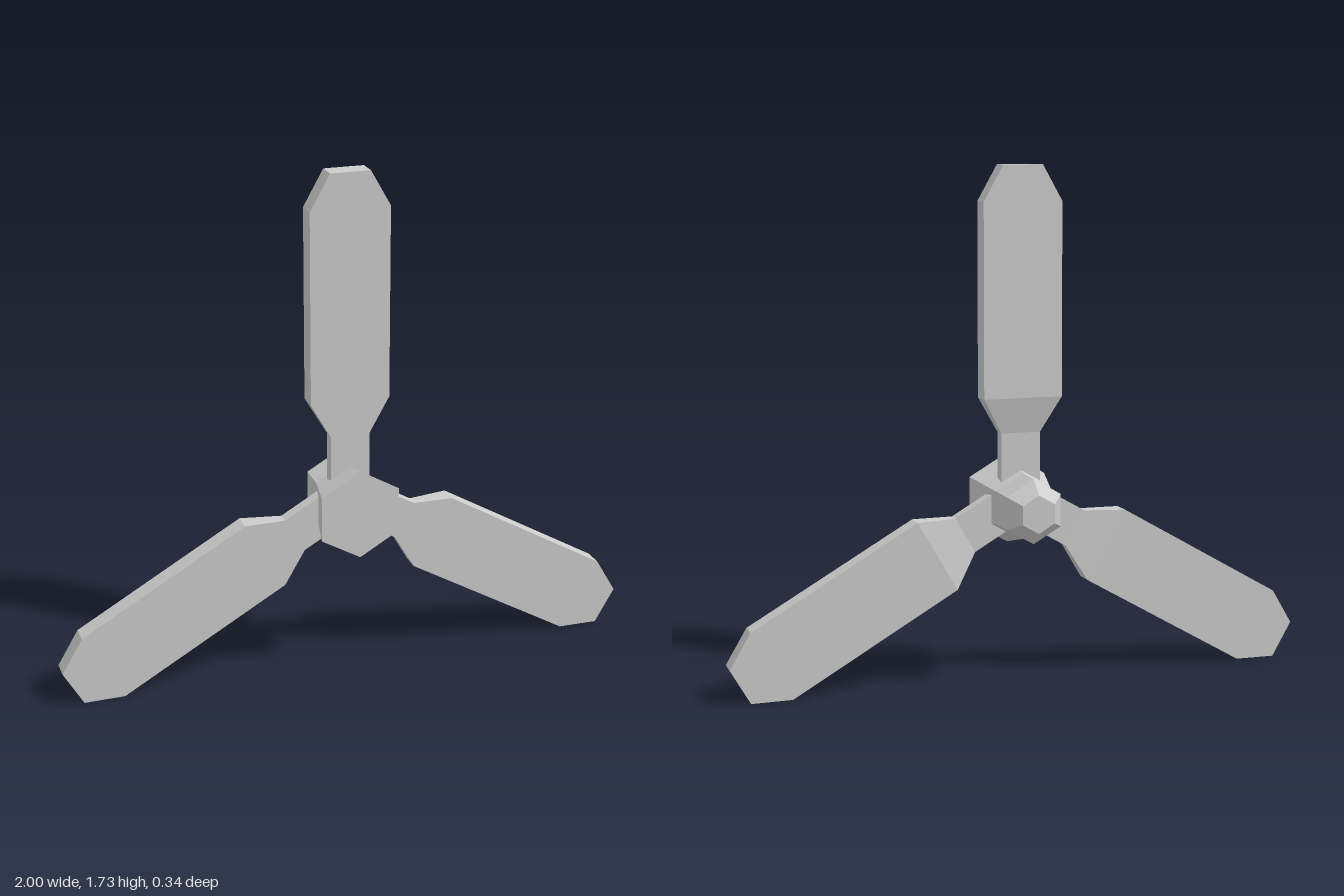
import * as THREE from 'three';

const material = new THREE.MeshStandardMaterial({ color: 0xcccccc, flatShading: true });
const FRONT = 0.063;

// Blade stations from root to tip: [radius, half width, z of the back face]
const STATIONS = [
  [0.05, 0.068, 0.02],
  [0.225, 0.068, 0.02],
  [0.345, 0.136, -0.007],
  [0.995, 0.136, -0.007],
  [1.115, 0.068, -0.007],
];

// A segmented box whose rows are moved onto the stations
function bladeGeometry() {
  const rows = STATIONS.length - 1;
  const geometry = new THREE.BoxGeometry(1, 1, 1, 1, rows, 1);
  const p = geometry.attributes.position;
  for (let i = 0; i < p.count; i++) {
    const [radius, halfWidth, back] = STATIONS[Math.round((p.getY(i) + 0.5) * rows)];
    p.setXYZ(i, Math.sign(p.getX(i)) * halfWidth, radius, p.getZ(i) > 0 ? FRONT : back);
  }
  geometry.computeVertexNormals();
  return geometry;
}

export function createModel() {
  const model = new THREE.Group();
  model.name = 'propeller';

  // Six-sided hub, wide at the front and tapering to a chamfered back
  const profile = [[0, -0.168], [0.064, -0.168], [0.109, -0.114], [0.111, -0.01], [0.155, 0.168], [0, 0.168]]
    .map(([r, z]) => new THREE.Vector2(r, z));
  const hub = new THREE.Mesh(new THREE.LatheGeometry(profile, 6).rotateX(Math.PI / 2), material);
  hub.name = 'hub';
  hub.position.y = 0.6;
  model.add(hub);

  // Three equal blades around the hub
  const blades = new THREE.Group();
  blades.name = 'blades';
  blades.position.y = 0.62;
  const geometry = bladeGeometry();
  ['topBlade', 'rightBlade', 'leftBlade'].forEach((name, i) => {
    const blade = new THREE.Mesh(geometry, material);
    blade.name = name;
    blade.rotation.z = (i * Math.PI * 2) / 3;
    blades.add(blade);
  });
  model.add(blades);

  return model;
}
